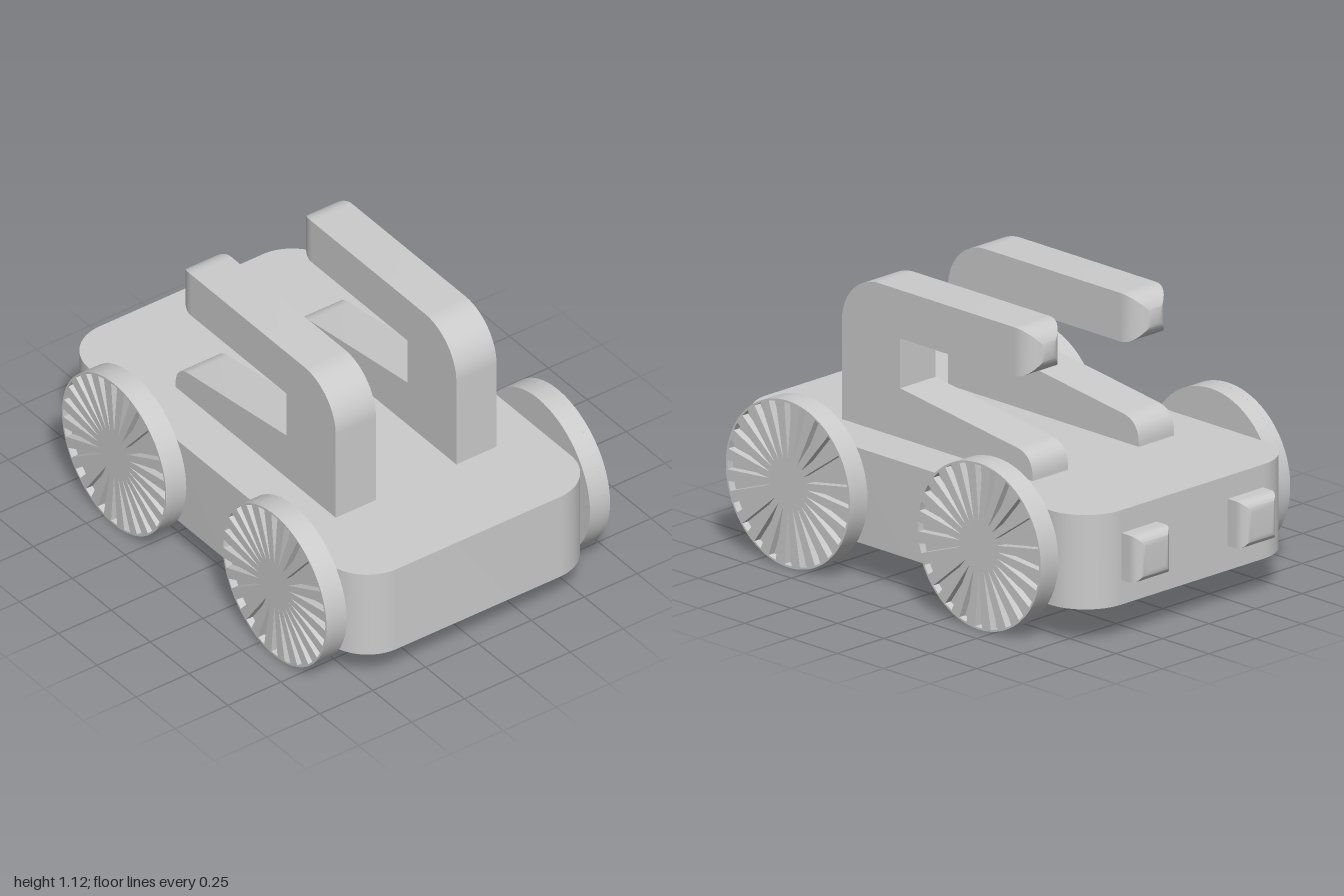
import * as THREE from 'three';
import { toCreasedNormals } from 'three/addons/utils/BufferGeometryUtils.js';

const material = new THREE.MeshStandardMaterial({ color: 0xcccccc });

function part(name, geometry) {
  const mesh = new THREE.Mesh(toCreasedNormals(geometry, 0.5), material);
  mesh.name = name;
  return mesh;
}

function extrude(shape, depth) {
  return new THREE.ExtrudeGeometry(shape, { depth, bevelEnabled: false, curveSegments: 16 });
}

// Square bar along -z whose far end is rounded on all four sides
function roundedBar(half, fillet, length) {
  const points = [new THREE.Vector2(half * Math.SQRT2, 0)];
  for (let i = 0; i <= 12; i++) {
    const a = (i / 12) * Math.PI / 2;
    const r = half - fillet + fillet * Math.cos(a);
    points.push(new THREE.Vector2(Math.max(r, 0) * Math.SQRT2, length - fillet + fillet * Math.sin(a)));
  }
  if (fillet < half) points.push(new THREE.Vector2(0, length));
  return new THREE.LatheGeometry(points, 4, Math.PI / 4).rotateX(-Math.PI / 2);
}

// Flat body with rounded upright corners
function createBody() {
  const w = 0.575, f = -1, b = 0.91, r = 0.19;
  const s = new THREE.Shape();
  s.absarc(w - r, b - r, r, 0, Math.PI / 2);
  s.absarc(-w + r, b - r, r, Math.PI / 2, Math.PI);
  s.absarc(-w + r, f + r, r, Math.PI, Math.PI * 1.5);
  s.absarc(w - r, f + r, r, Math.PI * 1.5, Math.PI * 2);
  s.closePath();
  return part('body', extrude(s, 0.38).rotateX(-Math.PI / 2).translate(0, 0.15, 0));
}

// Wheel with a ring of wedge grooves on its outer face
function createWheel() {
  const wheel = new THREE.Group();
  const radius = 0.335, count = 24;
  const face = new THREE.Shape().absarc(0, 0, radius, 0, Math.PI * 2);
  for (let i = 0; i < count; i++) {
    const a = (i / count) * Math.PI * 2, h = 0.06;
    const groove = new THREE.Path();
    groove.moveTo(0.1 * Math.cos(a), 0.1 * Math.sin(a));
    for (const t of [-h, 0, h]) groove.lineTo(0.327 * Math.cos(a + t), 0.327 * Math.sin(a + t));
    groove.closePath();
    face.holes.push(groove);
  }
  const plate = new THREE.ExtrudeGeometry(face, { depth: 0.03, bevelEnabled: false, curveSegments: 64 });
  wheel.add(part('wheelFace', plate.rotateY(Math.PI / 2).translate(0.64, 0, 0)));
  const disc = new THREE.CylinderGeometry(radius, radius, 0.065, 64);
  wheel.add(part('wheelDisc', disc.rotateZ(Math.PI / 2).translate(0.6075, 0, 0)));
  return wheel;
}

// Post, overhead arm and sloping foot in one profile, plus the rounded arm tip
function createArm() {
  const arm = new THREE.Group();
  arm.name = 'arm';
  const s = new THREE.Shape();
  s.moveTo(0.6, 0.5);
  s.lineTo(0.6, 0.925);
  s.absarc(0.4, 0.925, 0.2, 0, Math.PI / 2);
  s.lineTo(-0.333, 1.125);
  s.lineTo(-0.333, 0.93);
  s.lineTo(0.285, 0.93);
  s.lineTo(0.285, 0.73);
  s.lineTo(-0.34, 0.645);
  s.quadraticCurveTo(-0.43, 0.635, -0.43, 0.54);
  s.lineTo(-0.43, 0.5);
  s.closePath();
  arm.add(part('armFrame', extrude(s, 0.19).rotateY(-Math.PI / 2).translate(0.095, 0, 0)));
  const tip = part('armTip', roundedBar(0.0975, 0.0975, 0.0975));
  tip.scale.x = 0.095 / 0.0975;
  tip.position.set(0, 1.0275, -0.333);
  arm.add(tip);
  return arm;
}

export function createModel() {
  const model = new THREE.Group();
  model.name = 'cart';
  model.add(createBody());
  for (const side of [1, -1]) {
    const arm = createArm();
    arm.position.x = side * 0.285;
    model.add(arm);

    // Rear lamp block
    const lamp = part('rearLamp', roundedBar(0.095, 0.045, 0.1));
    lamp.position.set(side * 0.285, 0.343, -0.9);
    model.add(lamp);

    for (const [name, z] of [['frontWheel', 0.6], ['rearWheel', -0.43]]) {
      const wheel = createWheel();
      wheel.name = name;
      wheel.position.set(0, 0.338, z);
      if (side < 0) wheel.rotation.y = Math.PI;
      model.add(wheel);
    }
  }
  return model;
}
